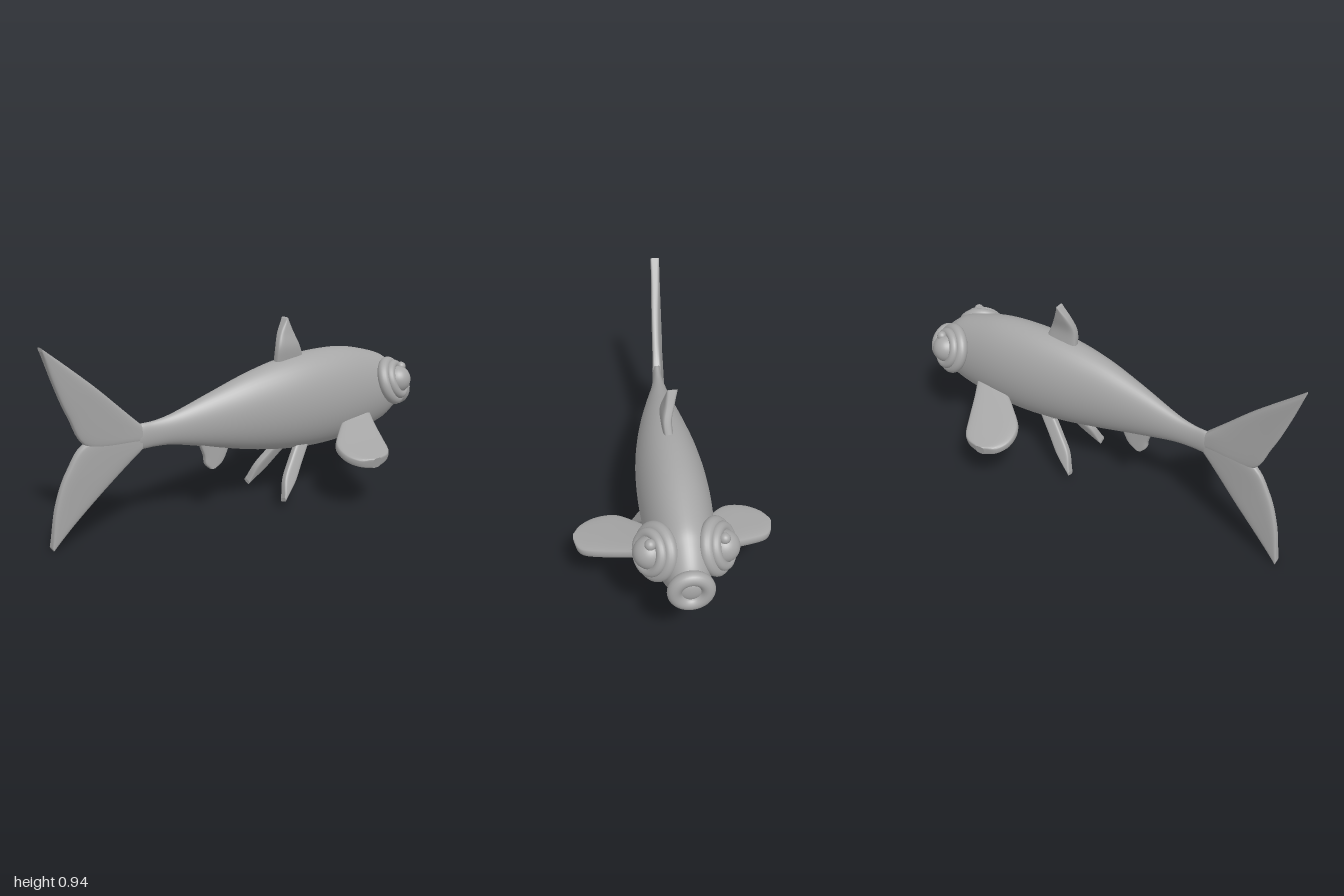
import * as THREE from 'three';

const V = (x, y, z) => new THREE.Vector3(x, y, z);
const grey = new THREE.MeshStandardMaterial({ color: 0xa6a6a6 });
grey.name = 'fish grey';

// Skin a list of closed rings, with flat end caps, facing outwards
function skin(rings) {
  const n = rings[0].length, last = rings.length - 1;
  const pts = rings.flat(), idx = [];
  for (let i = 0; i < last; i++) {
    for (let j = 0; j < n; j++) {
      const a = i * n + j, b = i * n + (j + 1) % n;
      idx.push(a, b, a + n, b, b + n, a + n);
    }
  }
  for (const [ring, start] of [[rings[0], true], [rings[last], false]]) {
    const base = pts.length;
    const centre = ring.reduce((s, p) => s.add(p), V(0, 0, 0)).divideScalar(n);
    pts.push(centre, ...ring);
    for (let j = 0; j < n; j++) {
      const a = base + 1 + j, b = base + 1 + (j + 1) % n;
      idx.push(base, start ? b : a, start ? a : b);
    }
  }
  let volume = 0;
  for (let i = 0; i < idx.length; i += 3) {
    volume += pts[idx[i]].dot(V(0, 0, 0).crossVectors(pts[idx[i + 1]], pts[idx[i + 2]]));
  }
  if (volume < 0) idx.reverse();
  const geo = new THREE.BufferGeometry().setFromPoints(pts);
  geo.setIndex(idx);
  geo.computeVertexNormals();
  return geo;
}

const curve = (points) => new THREE.CatmullRomCurve3(points.map((p) => V(...p)), false, 'catmullrom', 0.5);

// Fin spanned between two edge curves, with a rounded slab section
function fin(edgeA, edgeB, half, steps = 24, sides = 28) {
  const a = curve(edgeA), b = curve(edgeB), rings = [];
  const soft = (v, e) => Math.sign(v) * Math.abs(v) ** e;
  for (let i = 0; i <= steps; i++) {
    const p = a.getPoint(i / steps), q = b.getPoint(i / steps);
    const mid = p.clone().add(q).multiplyScalar(0.5), chord = q.sub(p).multiplyScalar(0.5);
    rings.push(Array.from({ length: sides }, (_, j) => {
      const t = (j / sides) * Math.PI * 2;
      return mid.clone().addScaledVector(chord, soft(Math.cos(t), 0.6)).addScaledVector(half, soft(Math.sin(t), 0.45));
    }));
  }
  return skin(rings);
}

// Body: elliptical rings following back, belly and a sideways bend
function bodyGeometry() {
  // z, centre x, top y, bottom y, half width
  const stations = [
    [-0.97, 0, 0.51, 0.4, 0.05], [-0.94, 0, 0.555, 0.365, 0.073], [-0.88, 0, 0.615, 0.325, 0.1],
    [-0.8, 0, 0.665, 0.29, 0.125], [-0.6, 0, 0.722, 0.252, 0.15], [-0.4, 0, 0.736, 0.245, 0.156],
    [-0.2, 0, 0.722, 0.263, 0.144], [0, -0.005, 0.682, 0.3, 0.115], [0.2, -0.018, 0.62, 0.35, 0.078],
    [0.4, -0.037, 0.553, 0.4, 0.04], [0.5, -0.045, 0.533, 0.41, 0.026],
    [0.57, -0.05, 0.53, 0.41, 0.023], [0.59, -0.051, 0.515, 0.425, 0.018],
  ];
  const backLine = curve(stations.map(([z, x, top]) => [x, top, z]));
  const bellyLine = curve(stations.map(([z, , , bottom, w]) => [w, bottom, z]));
  const rings = [];
  for (let i = 0; i <= 72; i++) {
    const p = backLine.getPoint(i / 72), q = bellyLine.getPoint(i / 72);
    rings.push(Array.from({ length: 48 }, (_, j) => {
      const t = (j / 48) * Math.PI * 2;
      return V(p.x + q.x * Math.cos(t), (p.y + q.y) / 2 + ((p.y - q.y) / 2) * Math.sin(t), p.z);
    }));
  }
  return skin(rings);
}

export function createModel() {
  const fish = new THREE.Group();
  fish.name = 'fish';
  const add = (name, geo, parent = fish) => {
    const mesh = new THREE.Mesh(geo, grey);
    mesh.name = name;
    parent.add(mesh);
    return mesh;
  };

  add('body', bodyGeometry());

  // Forked tail, curling to one side
  add('upperTailLobe', fin(
    [[-0.05, 0.53, 0.57], [-0.055, 0.62, 0.66], [-0.065, 0.73, 0.77], [-0.08, 0.835, 0.885], [-0.093, 0.935, 1]],
    [[-0.05, 0.445, 0.57], [-0.09, 0.46, 0.81], [-0.095, 0.61, 0.895], [-0.094, 0.77, 0.955], [-0.093, 0.92, 1]],
    V(0.023, 0, 0)));
  add('lowerTailLobe', fin(
    [[-0.05, 0.41, 0.57], [-0.07, 0.325, 0.66], [-0.092, 0.225, 0.765], [-0.11, 0.115, 0.88], [-0.125, 0, 0.995]],
    [[-0.05, 0.495, 0.57], [-0.09, 0.485, 0.81], [-0.105, 0.365, 0.91], [-0.118, 0.205, 0.97], [-0.125, 0.015, 1]],
    V(0.021, 0, 0)));

  // Wavy dorsal fin
  add('dorsalFin', fin(
    [[0, 0.7, -0.32], [0.007, 0.78, -0.288], [-0.008, 0.85, -0.258], [-0.022, 0.917, -0.232]],
    [[0, 0.7, -0.15], [0.007, 0.78, -0.155], [-0.008, 0.85, -0.18], [-0.022, 0.912, -0.222]],
    V(0.023, 0, 0)));

  // Small anal fin
  add('analFin', fin(
    [[-0.015, 0.36, 0.11], [-0.015, 0.31, 0.13], [-0.015, 0.27, 0.155], [-0.015, 0.247, 0.195]],
    [[-0.015, 0.38, 0.28], [-0.015, 0.32, 0.257], [-0.015, 0.275, 0.25], [-0.015, 0.247, 0.225]],
    V(0.018, 0, 0)));

  for (const s of [1, -1]) {
    const side = s > 0 ? 'left' : 'right';

    // Broad pectoral fin, drooping outwards
    const droop = ([x, z]) => {
      const d = x - 0.15;
      return [s * x, 0.365 - 0.33 * d + 0.25 * d * d - 0.08 * (z + 0.66), z];
    };
    add(side + 'PectoralFin', fin(
      [[0.11, -0.68], [0.2, -0.635], [0.31, -0.585], [0.4, -0.54], [0.435, -0.5], [0.448, -0.445]].map(droop),
      [[0.11, -0.5], [0.17, -0.42], [0.25, -0.335], [0.34, -0.315], [0.41, -0.345], [0.443, -0.4]].map(droop),
      V(s * 0.006, 0.026, 0.002)));

    // Narrow pelvic fin
    const splay = ([y, z]) => [s * (0.06 + (0.27 - y) * 0.39) - (s < 0 ? 0.015 : 0), y, z];
    add(side + 'PelvicFin', fin(
      [[0.285, -0.32], [0.2, -0.25], [0.12, -0.185], [0.048, -0.1]].map(splay),
      [[0.285, -0.235], [0.225, -0.185], [0.15, -0.128], [0.065, -0.1]].map(splay),
      V(s * 0.019, 0.007, 0)));

    // Bulging eye: two socket rings, ball and raised pupil
    const eye = new THREE.Group();
    eye.name = side + 'Eye';
    eye.position.set(s * 0.125, 0.535, -0.815);
    eye.quaternion.setFromUnitVectors(V(0, 0, 1), V(s * 0.83, 0.35, -0.43).normalize());
    fish.add(eye);
    add('outerSocketRing', new THREE.TorusGeometry(0.096, 0.029, 16, 48), eye);
    add('innerSocketRing', new THREE.TorusGeometry(0.078, 0.023, 16, 48), eye).position.z = 0.032;
    add('eyeball', new THREE.SphereGeometry(0.07, 32, 24), eye).position.z = 0.03;
    add(side + 'Pupil', new THREE.SphereGeometry(0.024, 20, 14)).position.set(s * 0.15, 0.609, -0.853);
  }

  // Puckered round mouth
  const mouth = new THREE.Group();
  mouth.name = 'mouth';
  mouth.position.set(0, 0.452, -0.969);
  fish.add(mouth);
  add('lips', new THREE.TorusGeometry(0.068, 0.031, 18, 48), mouth);
  add('mouthCentre', new THREE.SphereGeometry(0.048, 28, 18), mouth).scale.z = 0.4;

  return fish;
}
